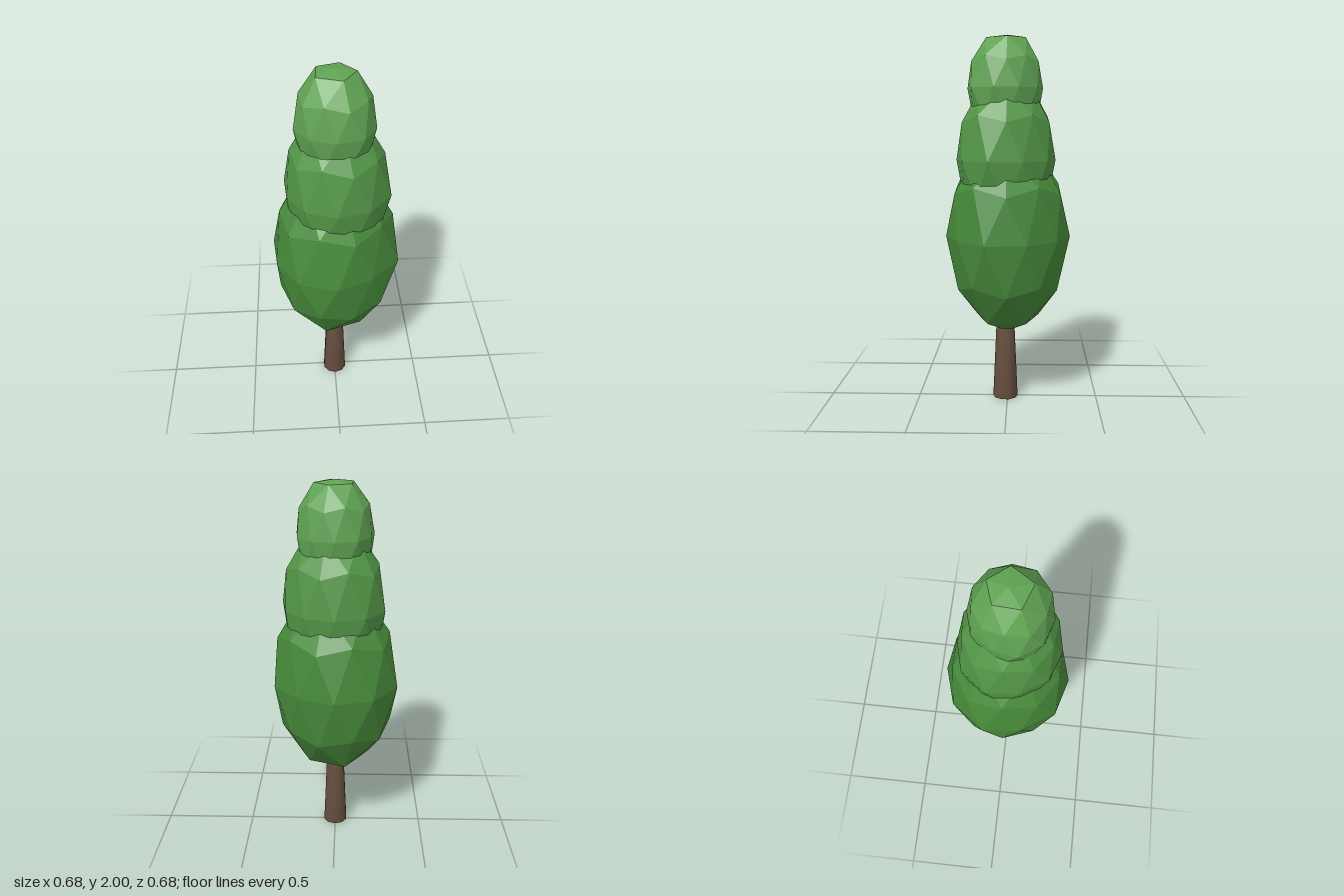
import * as THREE from 'three';
import { mergeVertices } from 'three/addons/utils/BufferGeometryUtils.js';

// Foliage tiers: centre height, half height, and radii around the equator
// (ten corners, from 18 degrees in steps of 36, turning from +x to +z)
const TIERS = [
  { name: 'lowerFoliage', color: 0x478b3b, y: 0.92, half: 0.54,
    radii: [0.36, 0.322, 0.34, 0.348, 0.334, 0.354, 0.35, 0.343, 0.327, 0.343] },
  { name: 'middleFoliage', color: 0x539747, y: 1.34, half: 0.45,
    radii: [0.302, 0.287, 0.278, 0.273, 0.26, 0.275, 0.271, 0.26, 0.264, 0.272] },
  { name: 'topFoliage', color: 0x60a353, y: 1.72, half: 0.31, top: 2,
    radii: [0.213, 0.23, 0.215, 0.216, 0.213, 0.192, 0.196, 0.19, 0.196, 0.201] },
];

// Radius in a given direction, blended between the two nearest corners
function radiusAt(radii, x, z) {
  const step = Math.PI / 5;
  const t = (Math.atan2(z, x) + 2 * Math.PI) / step - 0.5;
  const i = Math.floor(t);
  return THREE.MathUtils.lerp(radii[i % 10], radii[(i + 1) % 10], t - i);
}

// Faceted, slightly uneven egg with a corner at each pole
function foliage({ name, color, y, half, radii, top = Infinity }) {
  const geometry = new THREE.IcosahedronGeometry(1, 1);
  geometry.rotateZ(-Math.atan2(1, (1 + Math.sqrt(5)) / 2));
  const p = geometry.attributes.position;
  for (let i = 0; i < p.count; i++) {
    const x = p.getX(i), z = p.getZ(i);
    const r = radiusAt(radii, x, z);
    p.setXYZ(i, x * r, Math.min(y + p.getY(i) * half, top), z * r);
  }
  geometry.computeVertexNormals();
  const mesh = new THREE.Mesh(geometry, new THREE.MeshStandardMaterial({ color, flatShading: true }));
  mesh.name = name;
  return mesh;
}

// Tapered trunk, smooth all over
function trunk() {
  let geometry = new THREE.CylinderGeometry(0.047, 0.069, 0.5, 10);
  geometry.deleteAttribute('normal');
  geometry.deleteAttribute('uv');
  geometry = mergeVertices(geometry);
  geometry.computeVertexNormals();
  const mesh = new THREE.Mesh(geometry, new THREE.MeshStandardMaterial({ color: 0x67503f }));
  mesh.position.set(0, 0.25, 0.012);
  mesh.name = 'trunk';
  return mesh;
}

export function createModel() {
  const tree = new THREE.Group();
  tree.name = 'tree';
  tree.add(trunk(), ...TIERS.map(foliage));
  return tree;
}
